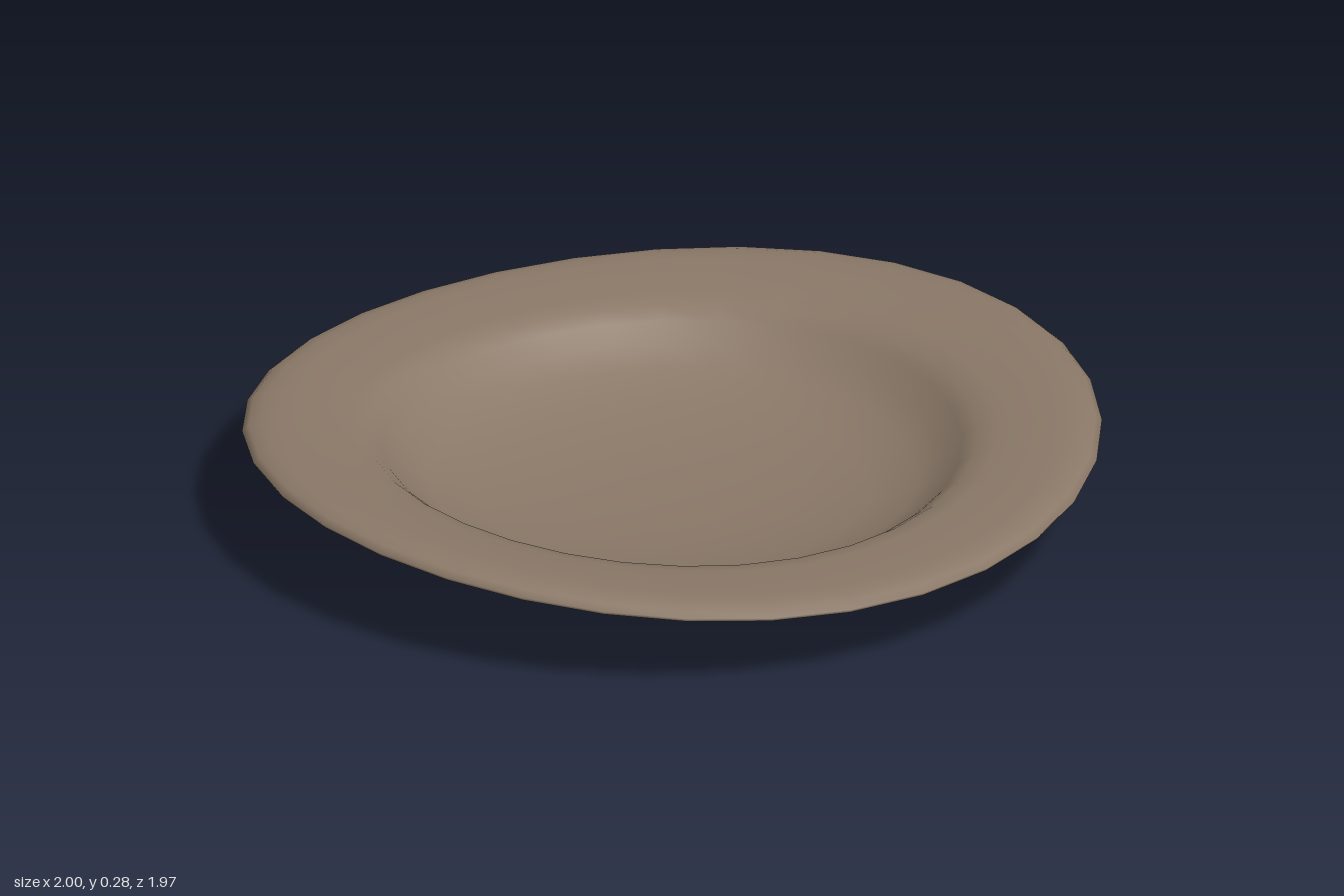
import * as THREE from 'three';
import { mergeVertices } from 'three/addons/utils/BufferGeometryUtils.js';

export function createModel() {
  const group = new THREE.Group();
  group.name = 'plate';
  const clay = new THREE.MeshStandardMaterial({ color: 0x8b7968 });
  clay.name = 'brown clay';

  // Profile [radius, height]: underside, outer wall, rim, then the well
  const profile = [
    [0, 0.005], [0.25, 0.003], [0.42, 0], [0.53, 0.01], [0.58, 0.028], [0.62, 0.065], [0.67, 0.105],
    [0.74, 0.145], [0.82, 0.175], [0.91, 0.196], [0.97, 0.205], [0.995, 0.213], [1, 0.222],
    [0.985, 0.235], [0.955, 0.243], [0.91, 0.244], [0.84, 0.236], [0.76, 0.226], [0.71, 0.214],
    [0.675, 0.188], [0.635, 0.148], [0.57, 0.108], [0.46, 0.076], [0.3, 0.056], [0.15, 0.049], [0, 0.047],
  ].map(([r, y]) => new THREE.Vector2(r, y));

  let geometry = new THREE.LatheGeometry(profile, 32);

  // Warp the hand-made rim into a shallow saddle, fading out towards the foot
  const pos = geometry.attributes.position;
  for (let i = 0; i < pos.count; i++) {
    const x = pos.getX(i), y = pos.getY(i), z = pos.getZ(i);
    const r2 = x * x + z * z;
    const fade = THREE.MathUtils.smoothstep(Math.sqrt(r2), 0.5, 0.95);
    const saddle = r2 > 0 ? (-2 * x * z) / r2 : 0;
    pos.setY(i, y + 0.033 * saddle * fade);
    pos.setZ(i, z * 0.985);
  }

  // Weld the seam so that the normals are smooth all round
  geometry.deleteAttribute('uv');
  geometry.deleteAttribute('normal');
  geometry = mergeVertices(geometry, 1e-4);
  geometry.computeVertexNormals();

  const dish = new THREE.Mesh(geometry, clay);
  dish.name = 'dish';
  group.add(dish);
  return group;
}
